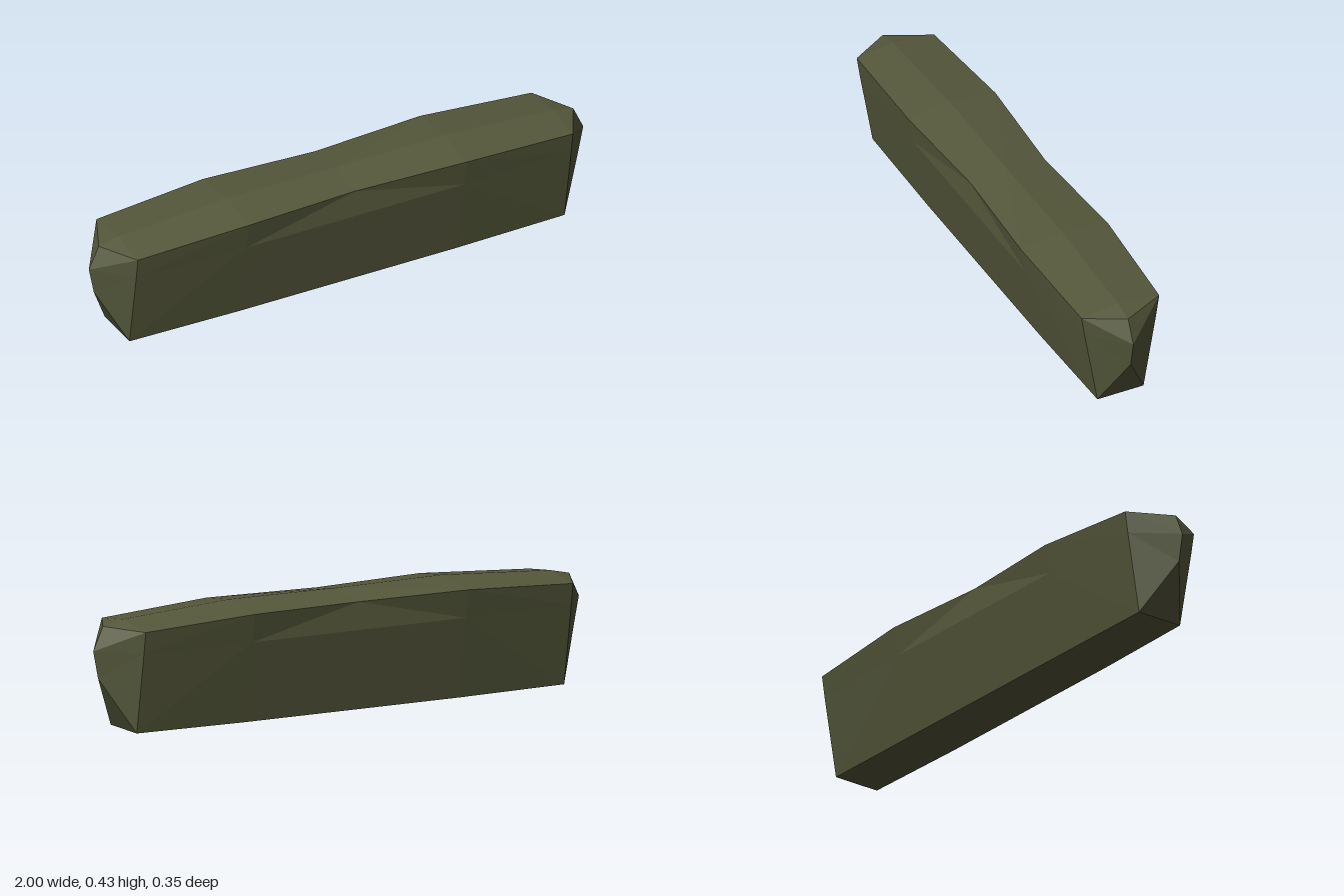
import * as THREE from 'three';

export function createModel() {
  const olive = new THREE.MeshStandardMaterial({ color: 0x55583b, flatShading: true });
  olive.name = 'olive';

  // Cross-sections along x: half widths and heights of base, shoulder, rim and ridge
  const sections = [
    { x: 0, base: [0.097, 0], mid: [0.155, 0.3], rim: [0.15, 0.402], ridge: 0.425 },
    { x: 0.44, base: [0.097, 0], mid: [0.155, 0.3], rim: [0.174, 0.405], ridge: 0.428 },
    { x: 0.88, base: [0.092, 0.003], mid: [0.143, 0.3], rim: [0.155, 0.38], ridge: 0.4 },
  ];
  const order = [[2, -1], [1, -1], [0, 1], [1, 1], [2, 1]];
  const rings = order.map(([k, side]) => {
    const s = sections[k];
    const p = (z, y) => [s.x * side, y, z];
    return [
      p(s.base[0], s.base[1]), p(s.mid[0], s.mid[1]), p(s.rim[0], s.rim[1]), p(0.01, s.ridge),
      p(-s.rim[0], s.rim[1]), p(-s.mid[0], s.mid[1]), p(-s.base[0], s.base[1]),
    ];
  });

  const positions = [];
  const tri = (a, b, c) => positions.push(...a, ...b, ...c);

  // Long sides, top and underside; diagonals mirrored about the waist
  for (let i = 0; i < 4; i++) {
    for (let j = 0; j < 7; j++) {
      const k = (j + 1) % 7;
      const a = rings[i][j], b = rings[i + 1][j], c = rings[i + 1][k], d = rings[i][k];
      if ((i < 2) === (j < 3)) {
        tri(a, b, c);
        tri(a, c, d);
      } else {
        tri(a, b, d);
        tri(b, c, d);
      }
    }
  }

  // Faceted prow at each end
  for (const side of [-1, 1]) {
    const [b0, m0, t0, ridge, t1, m1, b1] = rings[side > 0 ? 4 : 0];
    const low = [0.98 * side, 0.195, 0.01];
    const tip = [side, 0.295, 0.01];
    const top = [0.96 * side, 0.382, 0.01];
    const faces = [
      [b0, b1, low],
      [b0, low, m0], [low, tip, m0], [m0, tip, t0], [tip, top, t0], [top, ridge, t0],
      [b1, m1, low], [low, m1, tip], [tip, m1, t1], [tip, t1, top], [top, t1, ridge],
    ];
    for (const [a, b, c] of faces) side > 0 ? tri(a, b, c) : tri(a, c, b);
  }

  const geometry = new THREE.BufferGeometry();
  geometry.setAttribute('position', new THREE.Float32BufferAttribute(positions, 3));
  geometry.computeVertexNormals();

  const body = new THREE.Mesh(geometry, olive);
  body.name = 'body';
  const group = new THREE.Group();
  group.name = 'facetedBlock';
  group.add(body);
  return group;
}
